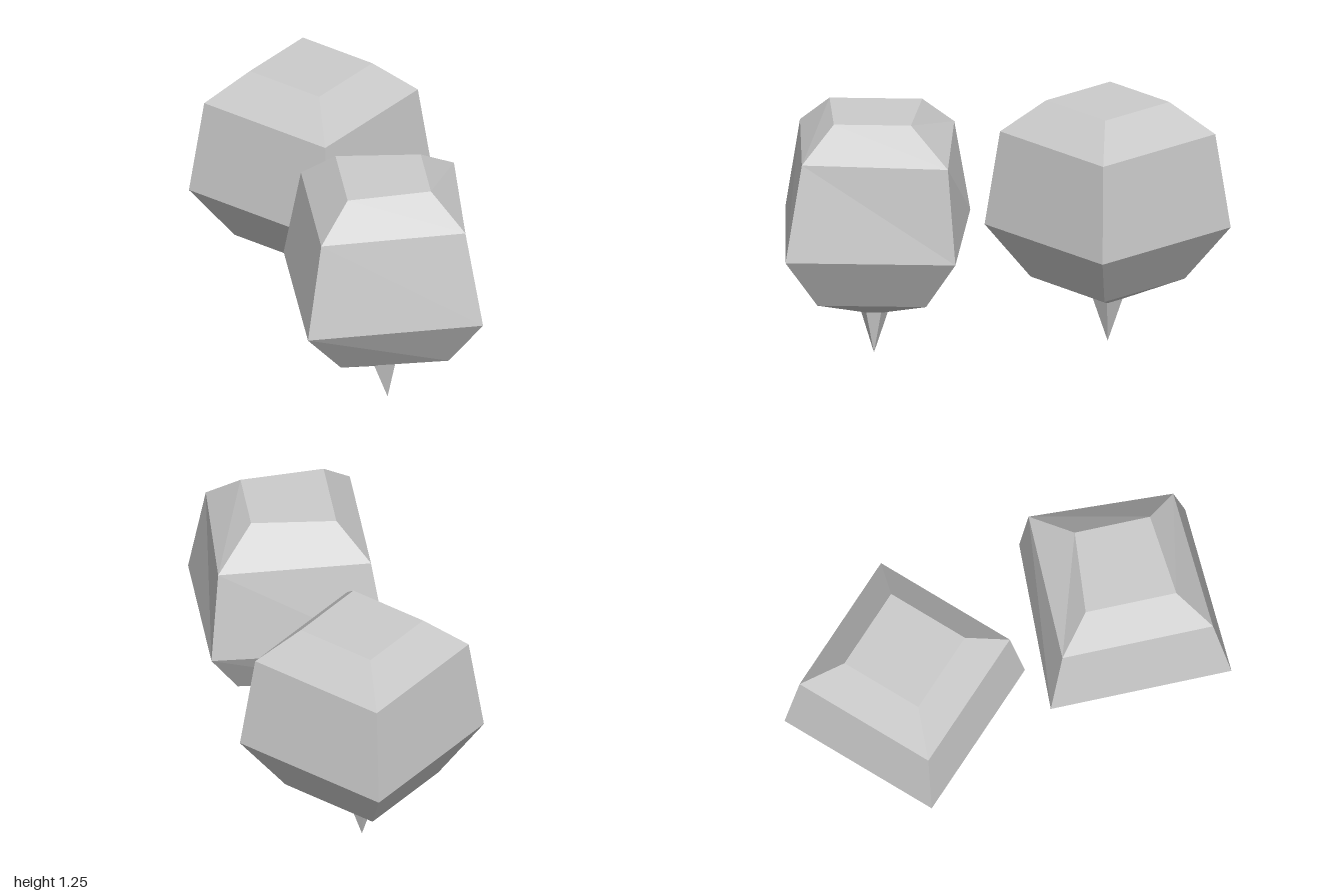
import * as THREE from 'three';

const material = new THREE.MeshStandardMaterial({ color: 0xcccccc, flatShading: true });

// Skins four-cornered rings, listed bottom to top; corners run counter-clockwise seen from above.
function loft(rings, capTop) {
  const pos = [];
  const tri = (...points) => points.forEach((p) => pos.push(...p));
  for (let i = 0; i < rings.length - 1; i++) {
    for (let j = 0; j < 4; j++) {
      const k = (j + 1) % 4;
      const a = rings[i][j], b = rings[i][k], c = rings[i + 1][k], d = rings[i + 1][j];
      if (a.some((v, n) => v !== b[n])) tri(a, b, d);
      tri(b, c, d);
    }
  }
  if (capTop) {
    const t = rings[rings.length - 1];
    tri(t[0], t[1], t[2]);
    tri(t[0], t[2], t[3]);
  }
  const geometry = new THREE.BufferGeometry();
  geometry.setAttribute('position', new THREE.Float32BufferAttribute(pos, 3));
  geometry.computeVertexNormals();
  return geometry;
}

// Square ring aligned with the axes
const squareRing = ([y, h]) => [[h, y, -h], [-h, y, -h], [-h, y, h], [h, y, h]];

// Diamond ring with its own reach to right, back, left and front
const diamondRing = ([y, px, nz, nx, pz]) => [[px, y, 0], [0, y, -nz], [-nx, y, 0], [0, y, pz]];

// One bulb: a faceted body above a thin pointed root
function makeBulb(name, rings, x, z) {
  const bulb = new THREE.Group();
  bulb.name = name;
  const body = new THREE.Mesh(loft(rings.slice(1), true), material);
  body.name = 'bulbBody';
  const root = new THREE.Mesh(loft(rings.slice(0, 2), false), material);
  root.name = 'rootTip';
  bulb.add(body, root);
  bulb.position.set(x, 0, z);
  return bulb;
}

export function createModel() {
  const group = new THREE.Group();
  group.name = 'bulbs';

  // Height and half width
  const square = [[0, 0], [0.22, 0.052], [0.33, 0.27], [0.6, 0.431], [1.085, 0.377], [1.25, 0.216]];
  group.add(makeBulb('backBulb', square.map(squareRing), -0.569, -0.433));

  // Height, then reach to +x, -z, -x, +z
  const diamond = [
    [0, 0, 0, 0, 0],
    [0.22, 0.052, 0.052, 0.108, 0.108],
    [0.33, 0.38, 0.38, 0.435, 0.38],
    [0.6, 0.595, 0.595, 0.648, 0.648],
    [1.085, 0.485, 0.54, 0.54, 0.54],
    [1.25, 0.27, 0.27, 0.325, 0.325],
  ];
  group.add(makeBulb('frontBulb', diamond.map(diamondRing), 0.405, 0.216));

  return group;
}
